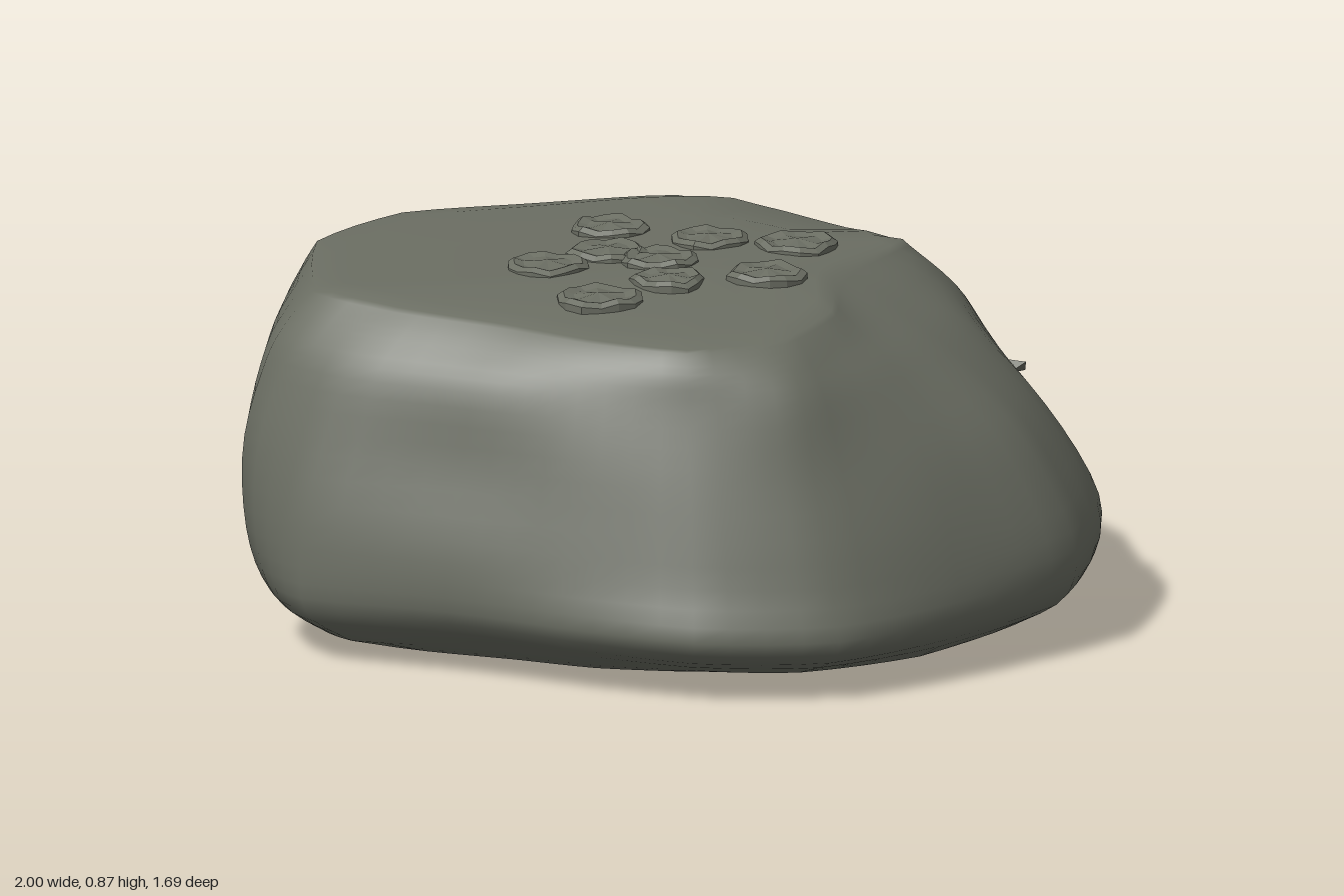
import * as THREE from 'three';

const stone = new THREE.MeshStandardMaterial({ color: 0x6b6e63 });
stone.name = 'mossy grey stone';

// Corner directions in degrees, going round from +x towards +z
const ANGLES = [0, 22, 45, 68, 90, 113, 135, 157, 172, 202, 225, 248, 270, 293, 315, 337];
// Distance of each corner from the middle, level by level
const RINGS = [
  [0.82, 0.84, 0.77, 0.69, 0.62, 0.61, 0.64, 0.82, 0.83, 0.76, 0.72, 0.61, 0.60, 0.69, 0.75, 0.78], // underside rim
  [0.97, 0.97, 0.89, 0.89, 0.83, 0.76, 0.77, 0.94, 0.94, 0.85, 0.81, 0.69, 0.69, 0.79, 0.87, 0.89], // foot
  [1.00, 0.98, 0.88, 0.86, 0.80, 0.75, 0.78, 0.95, 1.00, 0.91, 0.87, 0.73, 0.72, 0.83, 0.97, 0.93],
  [0.87, 0.86, 0.80, 0.78, 0.73, 0.70, 0.73, 0.90, 1.00, 0.93, 0.89, 0.76, 0.75, 0.89, 0.95, 0.88],
  [0.71, 0.67, 0.67, 0.72, 0.67, 0.65, 0.69, 0.84, 0.95, 0.93, 0.90, 0.77, 0.77, 0.91, 0.86, 0.79], // shoulder
  [0.56, 0.53, 0.57, 0.66, 0.64, 0.61, 0.63, 0.77, 0.89, 0.89, 0.87, 0.75, 0.75, 0.85, 0.79, 0.71],
  [0.42, 0.40, 0.50, 0.59, 0.60, 0.56, 0.57, 0.70, 0.83, 0.85, 0.81, 0.69, 0.69, 0.74, 0.70, 0.61], // top edge
];
const HEIGHTS = [0.045, 0.13, 0.28, 0.5, 0.68, 0.775, 0.84];
const SIDES = 16, COLS = 64, STEPS = 4;

// Smooth curve value through four neighbours
const spline = (a, b, c, d, t) =>
  b + 0.5 * t * (c - a + t * (2 * a - 5 * b + 4 * c - d + t * (3 * (b - c) + d - a)));

// Point on a level's outline: halfway between a straight-sided and a rounded one
function outline(ring, col) {
  const f = (col / COLS) * SIDES, i = Math.floor(f), t = f - i;
  const corners = [-1, 0, 1, 2].map(k => {
    const n = (i + k + SIDES) % SIDES, a = THREE.MathUtils.degToRad(ANGLES[n]);
    return [RINGS[ring][n] * Math.cos(a), RINGS[ring][n] * Math.sin(a)];
  });
  return [0, 1].map(axis => {
    const v = corners.map(c => c[axis]);
    return 0.5 * (spline(...v, t) + v[1] + (v[2] - v[1]) * t);
  });
}

// The top sinks towards the front and the back left corner
const dip = (x, z) => 0.1 * Math.max(0, z - 0.15) + 0.3 * Math.max(0, x - z - 0.8);
const topY = (x, z) => 0.854 - dip(x, z) - 0.06 * Math.max(0, x - 0.3) - 0.012 * Math.max(0, -x);

function boulderGeometry() {
  const rows = [];
  const last = RINGS.length - 1;
  const addRow = fn => rows.push(Array.from({ length: COLS }, (_, c) => fn(c)));
  const flatRow = (ring, scale, yFn) => addRow(c => {
    const [x, z] = outline(ring, c).map(v => v * scale);
    return [x, yFn(x, z), z];
  });

  // Underside, from the middle out
  [0, 0.5, 0.85].forEach(s => flatRow(0, s, (x, z) => 0.006 + 0.03 * s * s * (x * x + z * z)));

  // Sides, smoothed between the levels
  for (let s = 0; s <= last * STEPS; s++) {
    const i = Math.min(Math.floor(s / STEPS), last - 1), t = s / STEPS - i;
    const levels = [-1, 0, 1, 2].map(k => Math.min(Math.max(i + k, 0), last));
    const y = spline(...levels.map(l => HEIGHTS[l]), t);
    const v = s / (last * STEPS);
    addRow(c => {
      const points = levels.map(l => outline(l, c));
      const [x, z] = [0, 1].map(axis => spline(...points.map(p => p[axis]), t));
      const a = Math.atan2(z, x);
      const bump = 1 + 0.005 * Math.sin(v * Math.PI) * Math.sin(5 * a + 9 * y) * Math.cos(9 * a - 7 * y);
      const low = (1 - v) * 0.012 * Math.sin(3 * a + 1);
      return [x * bump, y + low - v ** 3 * dip(x, z), z * bump];
    });
  }

  // Flat top, from the edge in
  [0.9, 0.6, 0.3, 0].forEach(s => flatRow(last, s, topY));

  // Join neighbouring rows; the first and last rows are single points
  const index = [];
  for (let r = 0; r < rows.length - 1; r++) {
    for (let c = 0; c < COLS; c++) {
      const a = r * COLS + c, b = r * COLS + (c + 1) % COLS;
      if (r > 0) index.push(a, a + COLS, b);
      if (r < rows.length - 2) index.push(b, a + COLS, b + COLS);
    }
  }
  const g = new THREE.BufferGeometry();
  g.setAttribute('position', new THREE.Float32BufferAttribute(rows.flat(2), 3));
  g.setIndex(index);
  g.computeVertexNormals();
  return g;
}

// Low, crumpled shell with raised ribs meeting at its middle
function shellGeometry(radius, seed) {
  const profile = [[1, -0.012], [1, 0.006], [0.85, 0.016], [0.6, 0.01], [0, 0.018]];
  const g = new THREE.LatheGeometry(profile.map(([r, y]) => new THREE.Vector2(r * radius, y)), 14);
  const p = g.attributes.position;
  for (let i = 0; i < p.count; i++) {
    const x = p.getX(i), z = p.getZ(i), a = Math.atan2(z, x);
    const k = 1 + 0.06 * Math.sin(3 * a + seed) + 0.03 * Math.cos(5 * a + seed * 2);
    const edge = Math.hypot(x, z) / radius;
    p.setXYZ(i, x * k, p.getY(i) + edge * 0.005 * Math.cos(5 * a + seed), z * k);
  }
  const flat = g.toNonIndexed();
  flat.computeVertexNormals();
  return flat;
}

export function createModel() {
  const model = new THREE.Group();
  model.name = 'boulder with shells';
  const add = (name, geometry, x, y, z) => {
    const mesh = new THREE.Mesh(geometry, stone);
    mesh.name = name;
    mesh.position.set(x, y, z);
    model.add(mesh);
    return mesh;
  };

  add('boulder', boulderGeometry(), 0, 0, 0);

  // Cluster of shells on the top: x, z, radius
  [
    [-0.11, -0.33, 0.09], [0.11, -0.2, 0.09], [0.31, -0.14, 0.095],
    [-0.13, -0.1, 0.095], [-0.02, -0.02, 0.09], [-0.28, 0.01, 0.095],
    [-0.01, 0.17, 0.085], [0.22, 0.14, 0.092], [-0.18, 0.28, 0.1],
  ].forEach(([x, z, r], i) => add('shell', shellGeometry(r, i * 1.7), x, topY(x, z), z));

  // Small chips standing out of the left slope and foot
  [[0.815, 0.575, -0.07], [0.81, 0.15, -0.39]].forEach(([x, y, z]) => {
    const chip = add('chip', new THREE.TetrahedronGeometry(0.028), x, y, z);
    chip.scale.set(1.2, 0.8, 0.8);
  });
  return model;
}
